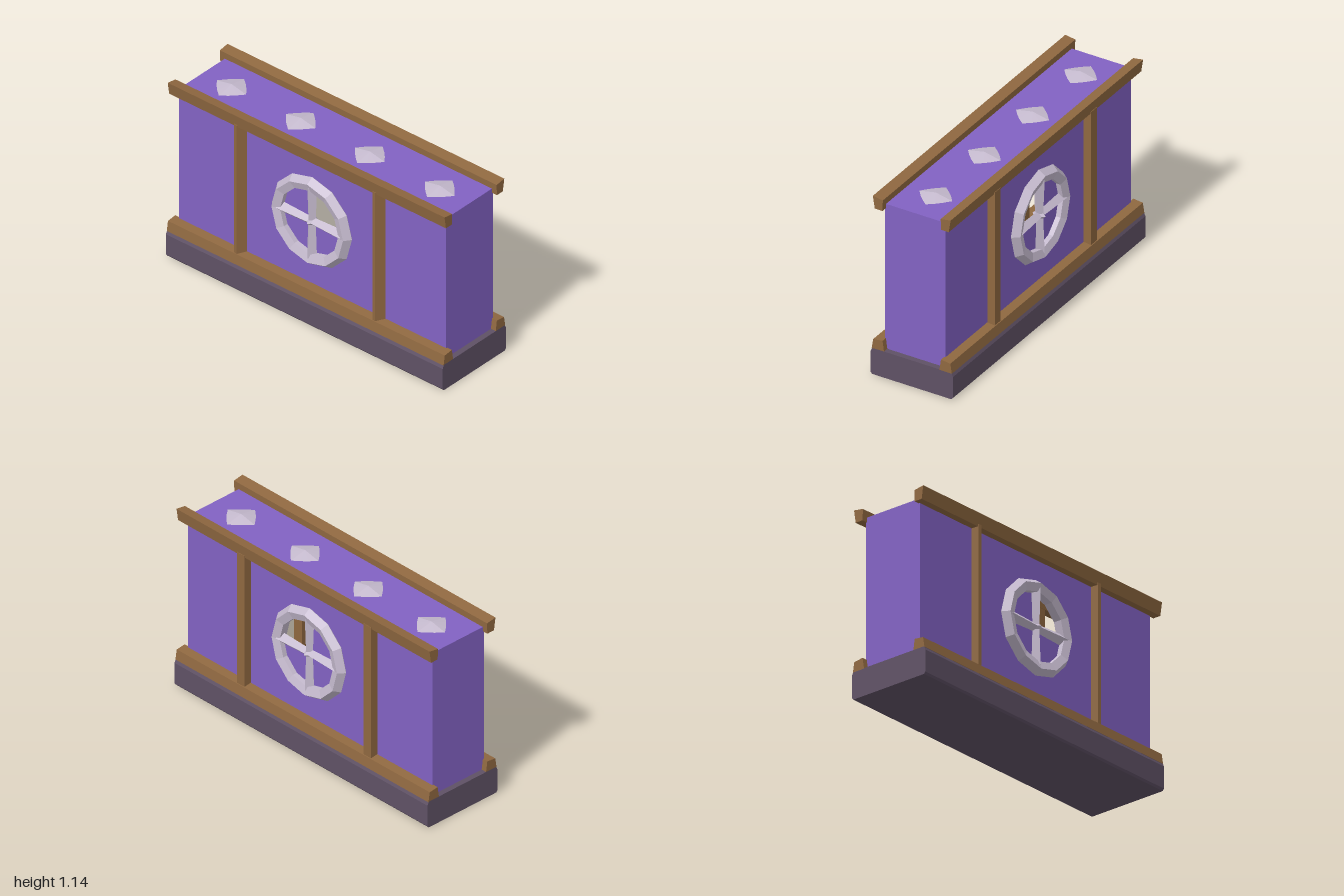
import * as THREE from 'three';

const mat = (name, color) => {
  const m = new THREE.MeshStandardMaterial({ color, flatShading: true });
  m.name = name;
  return m;
};

export function createModel() {
  const purple = mat('purple wall', 0x8262c3);
  const wood = mat('brown wood', 0x8f6840);
  const stone = mat('dark stone', 0x5f5165);
  const pale = mat('pale metal', 0xc6bbcf);
  const model = new THREE.Group();
  model.name = 'wallSection';

  const add = (name, geo, material, x = 0, y = 0, z = 0, parent = model) => {
    const mesh = new THREE.Mesh(geo, material);
    mesh.name = name;
    mesh.position.set(x, y, z);
    parent.add(mesh);
    return mesh;
  };
  const polygon = (pts) => new THREE.Shape(pts.map(([x, y]) => new THREE.Vector2(x, y)));
  // Profile in (z, y), swept along x and centred
  const beam = (pts, length) => {
    const g = new THREE.ExtrudeGeometry(polygon(pts.map(([z, y]) => [-z, y])), { depth: length, bevelEnabled: false });
    g.translate(0, 0, -length / 2);
    return g.rotateY(Math.PI / 2);
  };

  // Stone base with slightly chamfered sides
  add('base', beam([[-0.255, 0], [0.255, 0], [0.265, 0.012], [0.265, 0.145], [0.255, 0.167],
    [-0.255, 0.167], [-0.265, 0.145], [-0.265, 0.012]], 2), stone);

  // Hollow wall: thin front and back faces, open in one quarter of the wheel window
  const W = 0.965, Y0 = 0.165, Y1 = 1.09, D = 0.195, CY = 0.648;
  const wallFace = (side) => {
    const s = polygon([[-W, Y0], [W, Y0], [W, Y1], [-W, Y1]]);
    const hole = new THREE.Path();
    hole.moveTo(0, CY);
    for (let i = 0; i <= 4; i++) {
      const a = (i / 4) * Math.PI / 2;
      hole.lineTo(side * 0.235 * Math.cos(a), CY + 0.235 * Math.sin(a));
    }
    hole.closePath();
    s.holes.push(hole);
    return new THREE.ShapeGeometry(s);
  };
  add('frontWall', wallFace(1), purple, 0, 0, D);
  add('backWall', wallFace(-1), purple, 0, 0, -D).rotation.y = Math.PI;
  for (const s of [1, -1]) {
    add('endWall', new THREE.PlaneGeometry(2 * D, Y1 - Y0), purple, s * W, (Y0 + Y1) / 2, 0)
      .rotation.y = s * Math.PI / 2;
  }
  add('topWall', new THREE.PlaneGeometry(2 * W, 2 * D), purple, 0, Y1, 0).rotation.x = -Math.PI / 2;

  // Timber frame and spoked wheel for each long face
  for (const s of [1, -1]) {
    const side = new THREE.Group();
    side.name = s > 0 ? 'frontFrame' : 'backFrame';
    if (s < 0) side.rotation.y = Math.PI;
    model.add(side);

    add('topRail', beam([[0.188, 1.062], [0.238, 1.062], [0.25, 1.14], [0.186, 1.13]], 2), wood, 0, 0, 0, side);
    add('bottomRail', beam([[0.178, 0.164], [0.258, 0.164], [0.248, 0.225], [0.188, 0.232]], 2), wood, 0, 0, 0, side);

    for (const x of [-0.5, 0.5]) {
      // The front posts have a sharp ridge, the back ones are square
      const post = s > 0
        ? polygon([[-0.032, -0.19], [-0.028, -0.243], [-0.006, -0.245], [0.03, -0.19]])
        : polygon([[-0.03, -0.19], [-0.03, -0.243], [0.03, -0.243], [0.03, -0.19]]);
      const g = new THREE.ExtrudeGeometry(post, { depth: 0.86, bevelEnabled: false }).rotateX(-Math.PI / 2);
      add('post', g, wood, x, 0.215, 0, side);
    }

    const wheel = new THREE.Group();
    wheel.name = 'wheel';
    wheel.position.set(0, CY, 0.2);
    side.add(wheel);
    add('rim', new THREE.TorusGeometry(0.245, 0.043, 5, 12), pale, 0, 0, 0, wheel);
    for (let i = 0; i < 4; i++) {
      const spoke = new THREE.CylinderGeometry(0.036, 0.026, 0.235, 4);
      spoke.translate(0, 0.115, 0).rotateZ(i * Math.PI / 2);
      add('spoke', spoke, pale, 0, 0, 0, wheel);
    }
    add('hub', new THREE.OctahedronGeometry(0.042), pale, 0, 0, 0, wheel);
  }

  // Low diamond studs along the top
  for (const x of [-0.755, -0.255, 0.245, 0.75]) {
    const outline = [];
    for (let i = 0; i < 12; i++) {
      const a = (i / 12) * Math.PI * 2;
      const r = i % 3 === 0 ? 0.106 : 0.083;
      outline.push([r * Math.cos(a), r * Math.sin(a)]);
    }
    const stud = new THREE.ConeGeometry(1, 0.022, 12, 1);
    const p = stud.attributes.position;
    for (let i = 0; i < p.count; i++) {
      const px = p.getX(i), pz = p.getZ(i);
      if (Math.hypot(px, pz) < 0.5) continue;
      const k = Math.round(Math.atan2(pz, px) / (Math.PI / 6) + 12) % 12;
      p.setX(i, outline[k][0]);
      p.setZ(i, outline[k][1]);
    }
    stud.computeVertexNormals();
    add('stud', stud, pale, x, Y1 + 0.011, 0);
  }
  return model;
}
